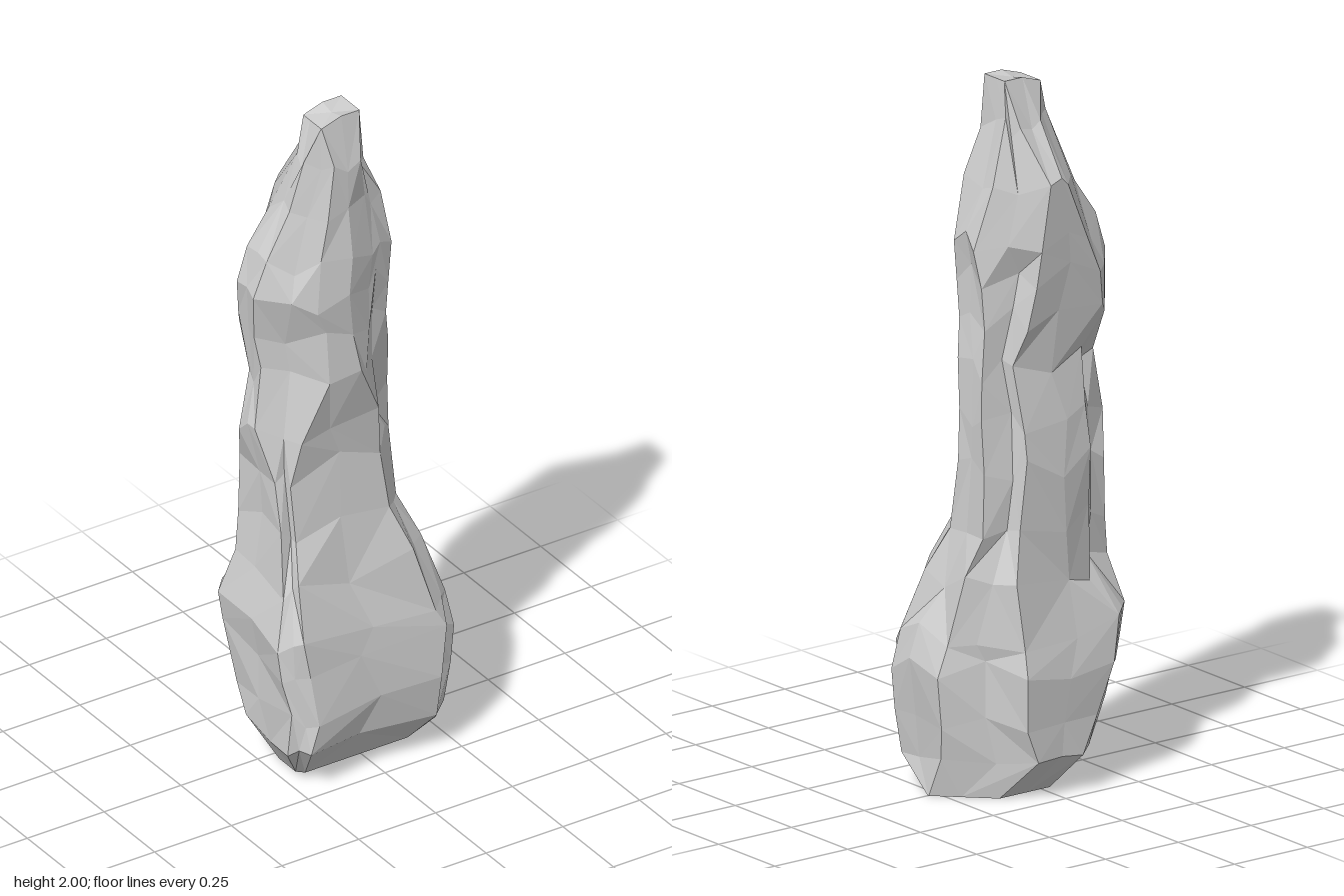
import * as THREE from 'three';

// Cross-sections: height, then the reach in eight directions,
// turning from +x (left) through +z (front), -x (right) and -z (back)
const RINGS = [
  [0, 0.28, 0.2, 0.13, 0.22, 0.2, 0.12, 0.14, 0.2],
  [0.1, 0.277, 0.3, 0.24, 0.335, 0.28, 0.22, 0.238, 0.225],
  [0.22, 0.285, 0.31, 0.247, 0.325, 0.268, 0.255, 0.228, 0.24],
  [0.36, 0.293, 0.318, 0.225, 0.32, 0.284, 0.295, 0.23, 0.243],
  [0.46, 0.268, 0.29, 0.212, 0.32, 0.294, 0.305, 0.213, 0.228],
  [0.6, 0.218, 0.222, 0.165, 0.277, 0.258, 0.26, 0.183, 0.212],
  [0.76, 0.177, 0.16, 0.12, 0.232, 0.237, 0.253, 0.18, 0.202],
  [0.92, 0.167, 0.13, 0.085, 0.202, 0.232, 0.26, 0.184, 0.189],
  [1.05, 0.165, 0.13, 0.095, 0.187, 0.264, 0.238, 0.167, 0.175],
  [1.2, 0.154, 0.132, 0.127, 0.157, 0.237, 0.223, 0.132, 0.162],
  [1.34, 0.14, 0.137, 0.122, 0.157, 0.247, 0.253, 0.152, 0.147],
  [1.46, 0.14, 0.147, 0.124, 0.182, 0.264, 0.25, 0.162, 0.137],
  [1.56, 0.152, 0.147, 0.117, 0.167, 0.232, 0.223, 0.167, 0.13],
  [1.72, 0.108, 0.122, 0.096, 0.127, 0.162, 0.172, 0.174, 0.117],
  [1.87, 0.058, 0.085, 0.09, 0.105, 0.12, 0.09, 0.085, 0.08],
  [2, 0.045, 0.07, 0.055, 0.094, 0.079, 0.08, 0.035, 0.056],
];

// Weathered grooves: direction (halves are corners), y from, y to, depth
const GROOVES = [
  [1, 1.0, 1.75, 0.12],
  [1.5, 1.1, 1.75, 0.18],
  [1, 0.2, 0.4, 0.1],
  [2, 0.05, 0.15, 0.04],
  [2.5, 1.2, 1.6, 0.1],
  [3, 1.2, 1.4, 0.08],
  [3, 0.7, 1.0, 0.1],
  [5, 0.5, 1.3, 0.16],
  [5.5, 0.55, 1.25, 0.14],
  [5, 0.15, 0.3, 0.1],
  [6.5, 0.7, 1.3, 0.1],
  [7, 0.7, 1.5, 0.22],
  [7, 0.2, 0.4, 0.08],
];
const SIDES = 16;

function seeded(seed) {
  return () => {
    seed = (seed * 16807) % 2147483647;
    return seed / 2147483647;
  };
}

// Corner where the flat sides facing directions i and i + 1 meet
function corner(reach, i) {
  const angle = (i * Math.PI) / 4;
  const along = (reach[(i + 1) % 8] - reach[i] * Math.SQRT1_2) / Math.SQRT1_2;
  return new THREE.Vector2(
    reach[i] * Math.cos(angle) - along * Math.sin(angle),
    reach[i] * Math.sin(angle) + along * Math.cos(angle),
  );
}

function spireGeometry() {
  const random = seeded(4127);
  const positions = [];
  const indices = [];
  RINGS.forEach(([y, ...reach], r) => {
    const end = r === 0 || r === RINGS.length - 1;
    const centre = new THREE.Vector2((reach[0] - reach[4]) / 2, (reach[2] - reach[6]) / 2);
    const corners = reach.map((_, i) => corner(reach, i));
    for (let i = 0; i < SIDES; i++) {
      // Even points are chipped mid-sides, odd points are corners
      const side = i / 2;
      const isCorner = i % 2 === 1;
      const slide = 0.35 + random() * 0.3;
      const point = isCorner
        ? corners[Math.floor(side)].clone()
        : corners[(side + 7) % 8].clone().lerp(corners[side], slide);
      let cut = end ? 0 : random() * (isCorner ? 0.05 : 0.085);
      for (const [direction, from, to, depth] of GROOVES) {
        if (direction === side && y >= from && y <= to) cut += depth;
      }
      point.lerp(centre, cut);
      const lift = end ? 0 : (random() - 0.5) * 0.07;
      const tipSlope = y === 2 && point.x < -0.05 ? -0.02 : 0;
      positions.push(point.x, y + lift + tipSlope, point.y);
    }
  });

  // Side facets with varied diagonals
  for (let r = 0; r < RINGS.length - 1; r++) {
    for (let i = 0; i < SIDES; i++) {
      const a = r * SIDES + i;
      const b = r * SIDES + ((i + 1) % SIDES);
      const c = a + SIDES;
      const d = b + SIDES;
      if (random() < 0.5) indices.push(a, c, b, b, c, d);
      else indices.push(a, c, d, a, d, b);
    }
  }

  // Foot and tip caps
  const last = (RINGS.length - 1) * SIDES;
  const foot = positions.length / 3;
  positions.push(0.04, 0, 0, -0.017, 1.99, 0.01);
  for (let i = 0; i < SIDES; i++) {
    const j = (i + 1) % SIDES;
    indices.push(foot, i, j, foot + 1, last + j, last + i);
  }

  const geometry = new THREE.BufferGeometry();
  geometry.setAttribute('position', new THREE.Float32BufferAttribute(positions, 3));
  geometry.setIndex(indices);
  const faceted = geometry.toNonIndexed();
  faceted.computeVertexNormals();
  return faceted;
}

export function createModel() {
  const group = new THREE.Group();
  group.name = 'rockSpire';
  const stone = new THREE.MeshStandardMaterial({ color: 0xcccccc, flatShading: true });
  const spire = new THREE.Mesh(spireGeometry(), stone);
  spire.name = 'spire';
  group.add(spire);
  return group;
}
